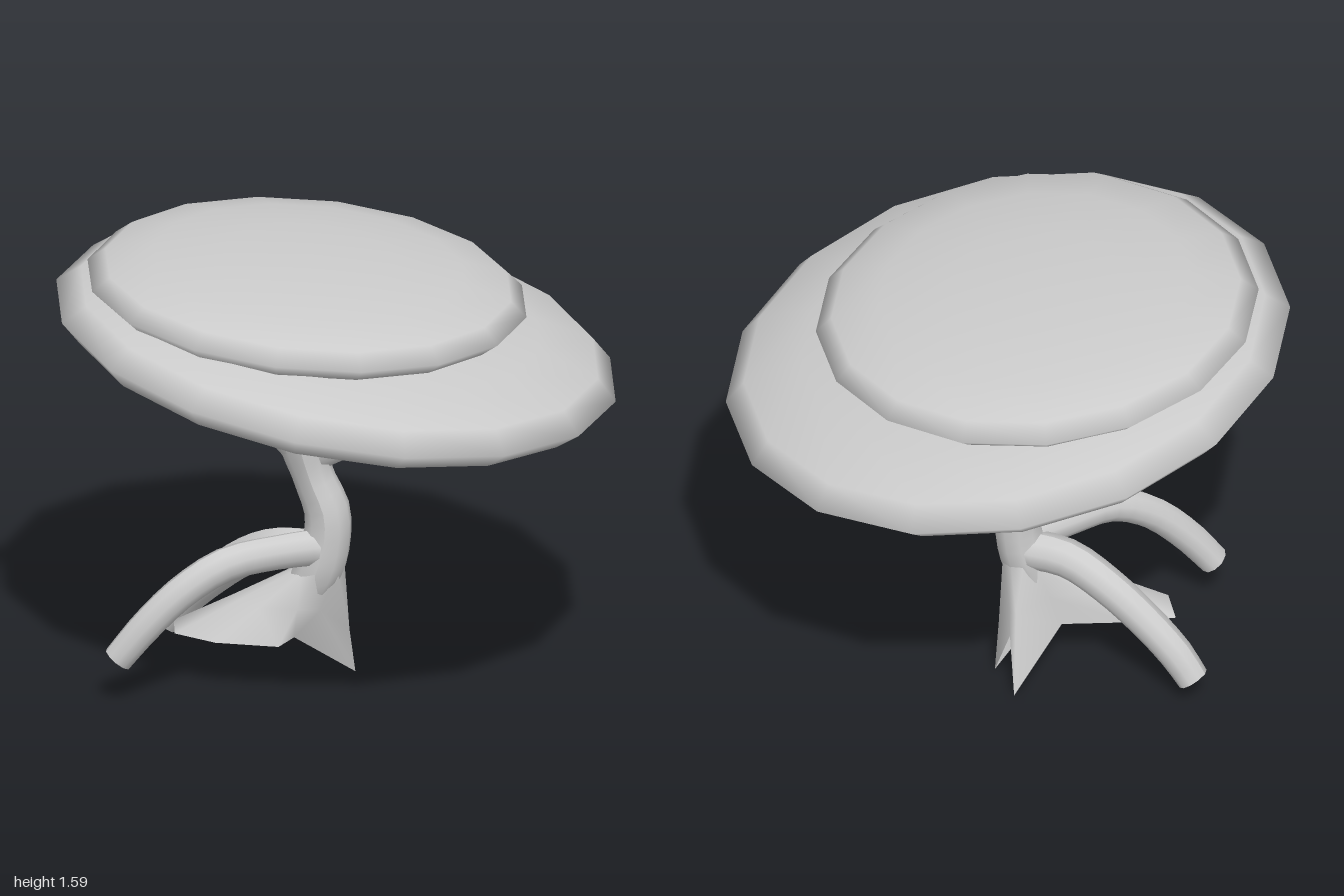
import * as THREE from 'three';

const material = new THREE.MeshStandardMaterial({ color: 0xcccccc, side: THREE.DoubleSide });
const V = (p) => new THREE.Vector3(...p);

function addMesh(group, name, geometry) {
  const mesh = new THREE.Mesh(geometry, material);
  mesh.name = name;
  group.add(mesh);
  return mesh;
}

// Open tube whose radius changes along the path; each point is [x, y, z, radius]
function limb(points, segments = 14, sides = 10) {
  const curve = new THREE.CatmullRomCurve3(points.map((p) => V(p.slice(0, 3))));
  const geometry = new THREE.TubeGeometry(curve, segments, 1, sides);
  const pos = geometry.attributes.position;
  const v = new THREE.Vector3();
  for (let i = 0; i <= segments; i++) {
    const u = i / segments;
    const centre = curve.getPointAt(u);
    const t = curve.getUtoTmapping(u) * (points.length - 1);
    const k = Math.min(Math.floor(t), points.length - 2);
    const radius = THREE.MathUtils.lerp(points[k][3], points[k + 1][3], t - k);
    for (let j = 0; j <= sides; j++) {
      const n = i * (sides + 1) + j;
      v.fromBufferAttribute(pos, n).sub(centre).multiplyScalar(radius).add(centre);
      pos.setXYZ(n, v.x, v.y, v.z);
    }
  }
  geometry.computeVertexNormals();
  return geometry;
}

// Skin stretched over closed rings of equal point count
function loft(rings) {
  const n = rings[0].length;
  const index = [];
  for (let r = 0; r < rings.length - 1; r++) {
    for (let i = 0; i < n; i++) {
      const a = r * n + i, b = r * n + (i + 1) % n;
      index.push(a, b, a + n, b, b + n, a + n);
    }
  }
  const geometry = new THREE.BufferGeometry();
  geometry.setAttribute('position', new THREE.Float32BufferAttribute(rings.flat(2), 3));
  geometry.setIndex(index);
  geometry.computeVertexNormals();
  // face outwards: rings run from east towards the back
  return geometry;
}

export function createModel() {
  const tree = new THREE.Group();
  tree.name = 'tree';

  // Two flattened, tilted foliage pads
  const pads = [
    ['lowerCanopy', [0, 1.26, 0], [0.98, 0.18, 1], -10.1],
    ['upperCanopy', [-0.1, 1.445, 0], [0.76, 0.132, 0.772], -5],
  ];
  for (const [name, position, scale, tilt] of pads) {
    const pad = addMesh(tree, name, new THREE.SphereGeometry(1, 16, 8));
    pad.position.set(...position);
    pad.scale.set(...scale);
    pad.rotation.z = THREE.MathUtils.degToRad(tilt);
  }

  // Crooked trunk
  addMesh(tree, 'trunk', limb([
    [-0.09, 0.36, -0.03, 0.08], [-0.06, 0.43, -0.03, 0.09], [-0.035, 0.53, -0.03, 0.083],
    [-0.035, 0.63, -0.03, 0.08], [-0.085, 0.76, -0.03, 0.07], [-0.12, 0.9, -0.03, 0.09],
    [-0.135, 1.04, -0.02, 0.078], [-0.13, 1.2, -0.01, 0.09],
  ], 18));

  // Branches holding the canopy
  addMesh(tree, 'rightBranch', limb([
    [-0.1, 0.83, -0.03, 0.07], [-0.2, 0.96, -0.04, 0.09], [-0.36, 1.045, -0.06, 0.07],
    [-0.52, 1.14, -0.07, 0.055], [-0.68, 1.28, -0.08, 0.04],
  ]));
  addMesh(tree, 'leftBranch', limb([
    [-0.1, 0.83, -0.03, 0.07], [0, 0.89, -0.06, 0.085], [0.12, 0.93, -0.09, 0.075],
    [0.25, 0.985, -0.11, 0.06], [0.42, 1.07, -0.13, 0.05], [0.5, 1.13, -0.14, 0.035],
  ]));

  // Arching hollow roots
  addMesh(tree, 'frontRoot', limb([
    [-0.04, 0.5, -0.02, 0.065], [-0.2, 0.5, 0.07, 0.06], [-0.36, 0.485, 0.17, 0.06],
    [-0.5, 0.4, 0.23, 0.058], [-0.62, 0.28, 0.26, 0.056], [-0.715, 0.16, 0.27, 0.052],
  ]));
  addMesh(tree, 'backRoot', limb([
    [-0.04, 0.47, -0.04, 0.07], [-0.2, 0.46, -0.1, 0.068], [-0.33, 0.395, -0.17, 0.065],
    [-0.46, 0.285, -0.23, 0.062], [-0.56, 0.18, -0.28, 0.06], [-0.62, 0.09, -0.31, 0.055],
  ]));

  // Flared root skirt: a cut sheet to one side and a two-pointed flap at the back
  const bottom = [
    [0.05, 0.01, -0.12], [0.0, 0.18, -0.16], [-0.01, 0, -0.26], [-0.18, 0.18, -0.1],
    [-0.4, 0.18, -0.1], [-0.57, 0.18, -0.08], [-0.55, 0.18, 0.05], [-0.4, 0.18, 0.12],
    [-0.18, 0.18, 0.13], [-0.14, 0.18, 0.03],
  ];
  const angles = [20, 50, 80, 115, 150, 170, 195, 230, 270, 320];
  const top = angles.map((deg) => {
    const a = THREE.MathUtils.degToRad(deg);
    return [-0.06 + 0.085 * Math.cos(a), 0.43 + 0.02 * Math.cos(a), -0.03 - 0.085 * Math.sin(a)];
  });
  const middle = top.map((p, i) => p.map((c, k) => (c + bottom[i][k]) / 2));
  middle[0] = [0.035, 0.18, -0.08];
  middle[1] = [0.0, 0.26, -0.13];
  middle[2] = [-0.02, 0.28, -0.18];
  middle[9] = [-0.05, 0.28, 0.02];
  addMesh(tree, 'rootFlare', loft([bottom, middle, top]));

  return tree;
}
